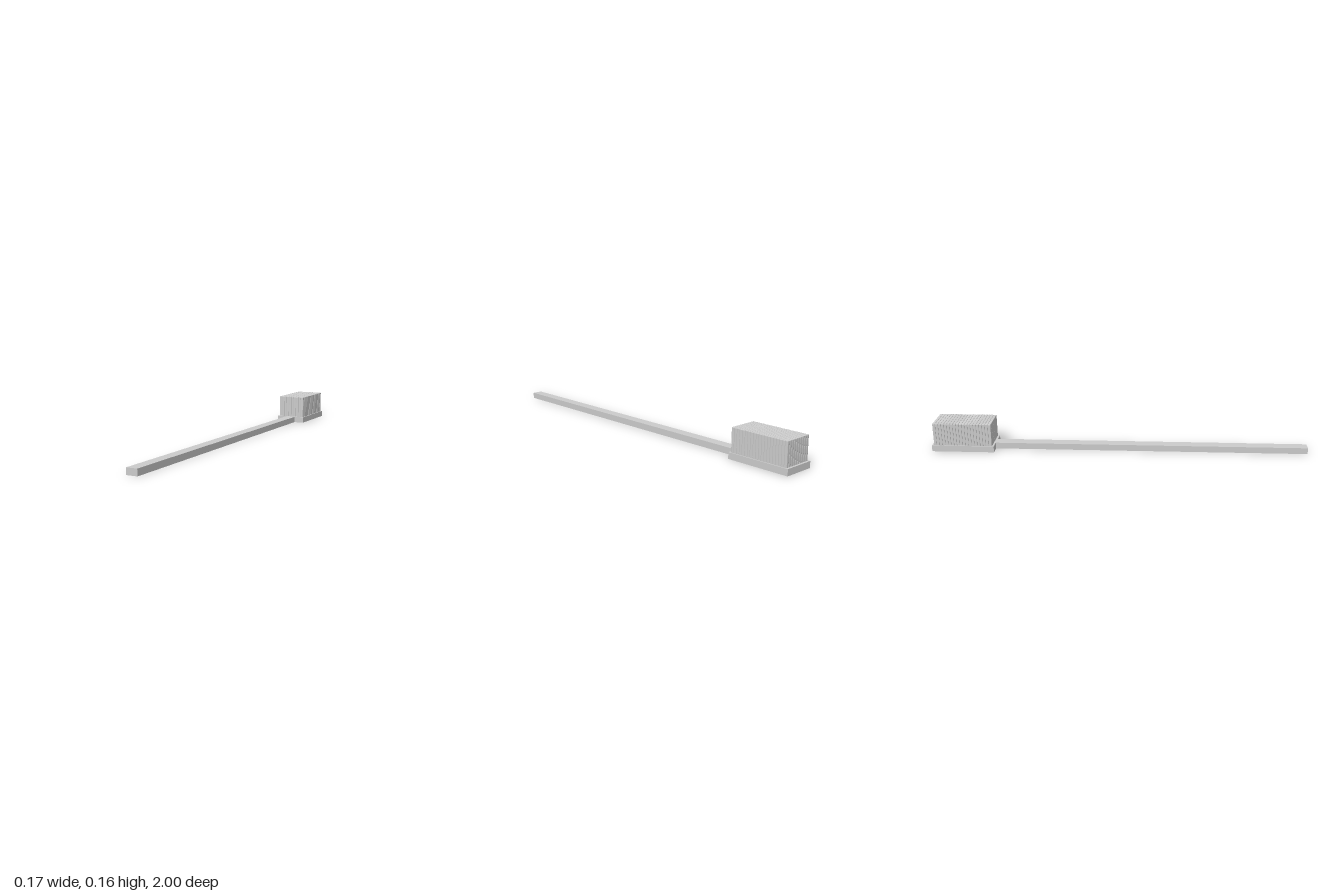
import * as THREE from 'three';
import { mergeGeometries } from 'three/addons/utils/BufferGeometryUtils.js';
import { RoundedBoxGeometry } from 'three/addons/geometries/RoundedBoxGeometry.js';

const THICK = 0.033;      // handle and head thickness
const NECK_Z = -0.667;    // where the handle meets the head
const COLS = 10, ROWS = 20;
const PITCH = 0.0156;     // bristle spacing
const BRISTLE_TOP = 0.155;

export function createModel() {
  const group = new THREE.Group();
  const material = new THREE.MeshStandardMaterial({ color: 0xcccccc, flatShading: true });

  const add = (name, geometry) => {
    const mesh = new THREE.Mesh(geometry, material);
    mesh.name = name;
    group.add(mesh);
  };
  // Flat bar lying on the ground between two z positions
  const bar = (width, z0, z1) =>
    new THREE.BoxGeometry(width, THICK, z1 - z0).translate(0, THICK / 2, (z0 + z1) / 2);

  add('handle', bar(0.056, NECK_Z, 1));
  add('head', bar(0.167, -1, NECK_Z));

  // Grid of square bristles with chamfered edges, sunk slightly into the head
  const base = THICK - 0.004;
  const height = BRISTLE_TOP - base;
  const bristle = new RoundedBoxGeometry(PITCH, height, PITCH, 1, 0.0025);
  const bristles = [];
  for (let row = 0; row < ROWS; row++) {
    for (let col = 0; col < COLS; col++) {
      bristles.push(bristle.clone().translate(
        (col - (COLS - 1) / 2) * PITCH,
        base + height / 2,
        -0.8333 + (row - (ROWS - 1) / 2) * PITCH
      ));
    }
  }
  add('bristles', mergeGeometries(bristles));

  return group;
}
